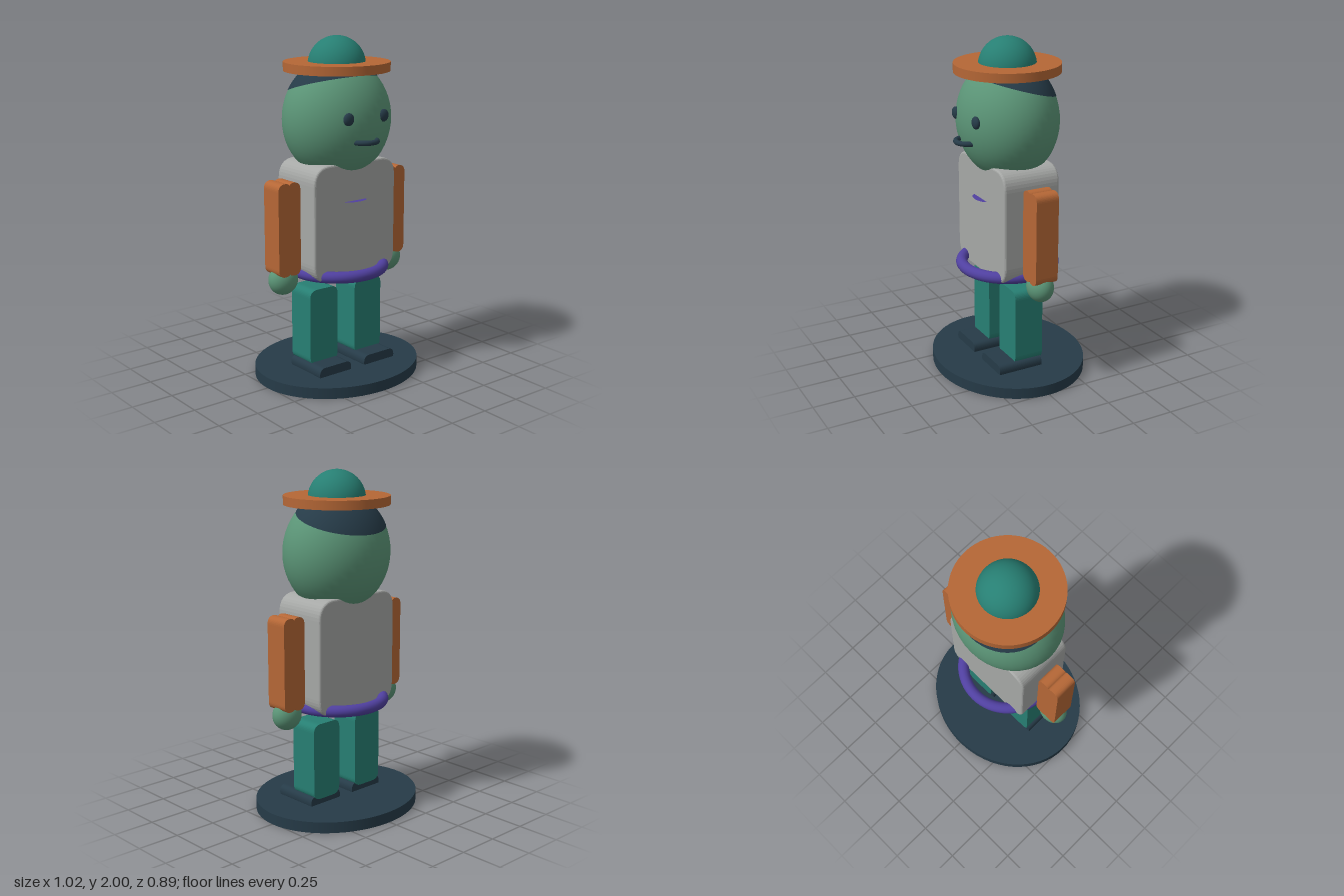
import * as THREE from 'three';

const mat = (name, color, side = THREE.FrontSide) => {
  const m = new THREE.MeshStandardMaterial({ color, side });
  m.name = name;
  return m;
};

// Rounded rectangle outline; notch lowers the middle of the top and raises that of the bottom
function outline(w, h, r, notch = 0) {
  const x = w / 2, y = h / 2, s = new THREE.Shape();
  s.moveTo(-x, -y + r);
  s.lineTo(-x, y - r);
  s.quadraticCurveTo(-x, y, -x + r, y);
  if (notch) {
    s.quadraticCurveTo(-0.008, y, 0, y - notch);
    s.quadraticCurveTo(0.008, y, x - r, y);
  } else s.lineTo(x - r, y);
  s.quadraticCurveTo(x, y, x, y - r);
  s.lineTo(x, -y + r);
  s.quadraticCurveTo(x, -y, x - r, -y);
  if (notch) {
    s.quadraticCurveTo(0.008, -y, 0, -y + notch);
    s.quadraticCurveTo(-0.008, -y, -x + r, -y);
  } else s.lineTo(-x + r, -y);
  s.quadraticCurveTo(-x, -y, -x, -y + r);
  return s;
}

// Rounded block extruded along z and centred on its origin
function block(w, h, d, r, notch = 0, bevel = 0) {
  const g = new THREE.ExtrudeGeometry(outline(w - 2 * bevel, h - 2 * bevel, r, notch), {
    depth: d - 2 * bevel, curveSegments: 10,
    bevelEnabled: bevel > 0, bevelThickness: bevel, bevelSize: bevel, bevelSegments: 3,
  });
  return g.translate(0, 0, -d / 2 + bevel);
}

export function createModel() {
  const model = new THREE.Group();
  const navy = mat('navy', 0x263b48), teal = mat('teal', 0x277f73);
  const green = mat('green', 0x5b9577), orange = mat('orange', 0xb56736);
  const grey = mat('grey', 0xa6a8a6), purple = mat('purple', 0x5040a0, THREE.DoubleSide);

  const add = (name, geometry, material, x, y, z) => {
    const mesh = new THREE.Mesh(geometry, material);
    mesh.name = name;
    mesh.position.set(x, y, z);
    model.add(mesh);
    return mesh;
  };
  const ball = (rx, ry, rz) => new THREE.SphereGeometry(1, 40, 28).scale(rx, ry, rz);

  // Oval stand
  add('stand', new THREE.CylinderGeometry(1, 1, 0.065, 64).scale(0.512, 1, 0.445), navy, 0, 0.0325, 0);

  // Limbs and eyes, mirrored
  for (const [side, s] of [['left', 1], ['right', -1]]) {
    add(side + 'Shoe', block(0.23, 0.08, 0.28, 0.04), navy, s * 0.165, 0.08, 0.06);
    add(side + 'Leg', block(0.2, 0.46, 0.18, 0.05), teal, s * 0.165, 0.33, 0);
    add(side + 'Arm', block(0.15, 0.54, 0.14, 0.045, 0.014), orange, s * 0.39, 0.94, 0);
    add(side + 'Hand', ball(0.09, 0.088, 0.075), green, s * 0.39, 0.635, 0);
    add(side + 'Eye', ball(0.035, 0.036, 0.02), navy, s * 0.125, 1.565, 0.264);
  }

  // Body with belt ring
  add('torso', block(0.59, 0.68, 0.35, 0.1, 0, 0.012), grey, 0, 0.96, 0);
  add('belt', new THREE.TorusGeometry(0.272, 0.034, 16, 64).rotateX(Math.PI / 2), purple, 0, 0.655, 0);

  // Flat level tab on the chest
  add('chestTab', new THREE.CircleGeometry(1, 24).scale(0.08, 0.045, 1).rotateX(-Math.PI / 2),
    purple, 0, 1.076, 0.168);

  // Head and hair cap tilted to the back
  add('head', ball(0.33, 0.35, 0.287), green, 0, 1.53, 0);
  const hair = new THREE.SphereGeometry(1.006, 48, 20, 0, Math.PI * 2, 0, 0.98)
    .rotateX(-0.229).scale(0.33, 0.35, 0.287);
  add('hair', hair, navy, 0, 1.53, 0);

  // Mouth: level half ring bulging forward
  const mouth = new THREE.TorusGeometry(0.073, 0.015, 12, 28, Math.PI).rotateX(Math.PI / 2);
  add('mouth', mouth, navy, 0, 1.43, 0.247);

  // Hat
  add('hatBrim', new THREE.CylinderGeometry(0.306, 0.306, 0.052, 64), orange, 0, 1.829, 0);
  add('hatCrown', ball(0.166, 0.166, 0.166), teal, 0, 1.834, 0);

  return model;
}
